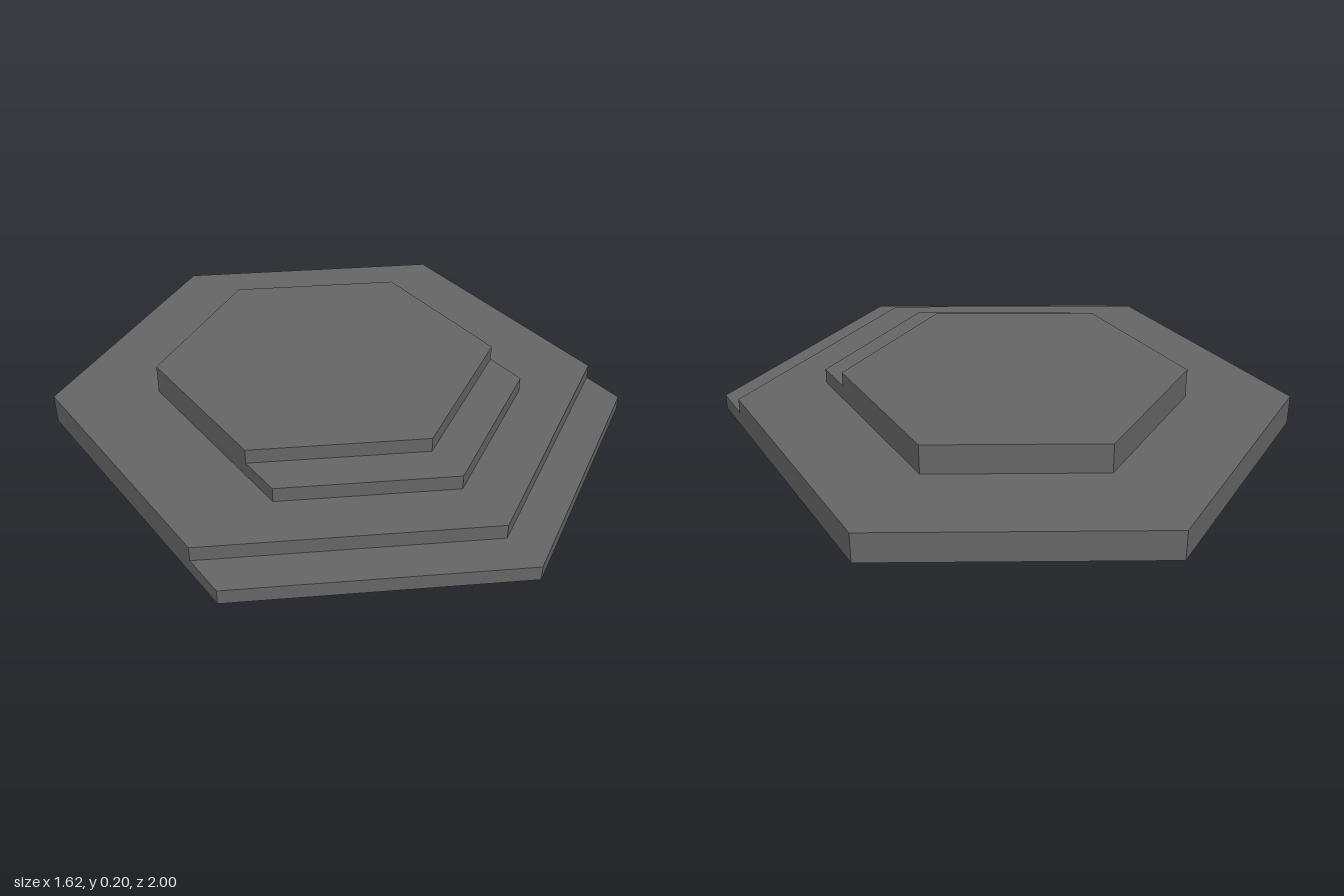
import * as THREE from 'three';

const STEP = 0.05; // height of one tier

// Six-sided slab: half width, corner and tip distances at the back and front
function tierGeometry(halfWidth, backCorner, backTip, frontCorner, frontTip) {
  const outline = new THREE.Shape([
    [0, -frontTip], [halfWidth, -frontCorner], [halfWidth, backCorner],
    [0, backTip], [-halfWidth, backCorner], [-halfWidth, -frontCorner],
  ].map(([x, y]) => new THREE.Vector2(x, y)));
  const geometry = new THREE.ExtrudeGeometry(outline, { depth: STEP, bevelEnabled: false });
  return geometry.rotateX(-Math.PI / 2);
}

export function createModel() {
  const model = new THREE.Group();
  model.name = 'hexagonalSteppedPlatform';

  const stone = new THREE.MeshStandardMaterial({ color: 0x666666 });
  stone.name = 'darkGrey';

  // Tiers from the ground up; every second one is cut back at the front as a step
  const tiers = [
    ['baseStep', 0.808, 0.538, 1, 0.538, 1],
    ['basePlatform', 0.808, 0.538, 1, 0.388, 0.85],
    ['upperStep', 0.502, 0.358, 0.645, 0.358, 0.645],
    ['upperPlatform', 0.502, 0.358, 0.645, 0.208, 0.495],
  ];
  tiers.forEach(([name, ...size], i) => {
    const tier = new THREE.Mesh(tierGeometry(...size), stone);
    tier.name = name;
    tier.position.y = i * STEP;
    model.add(tier);
  });

  return model;
}
